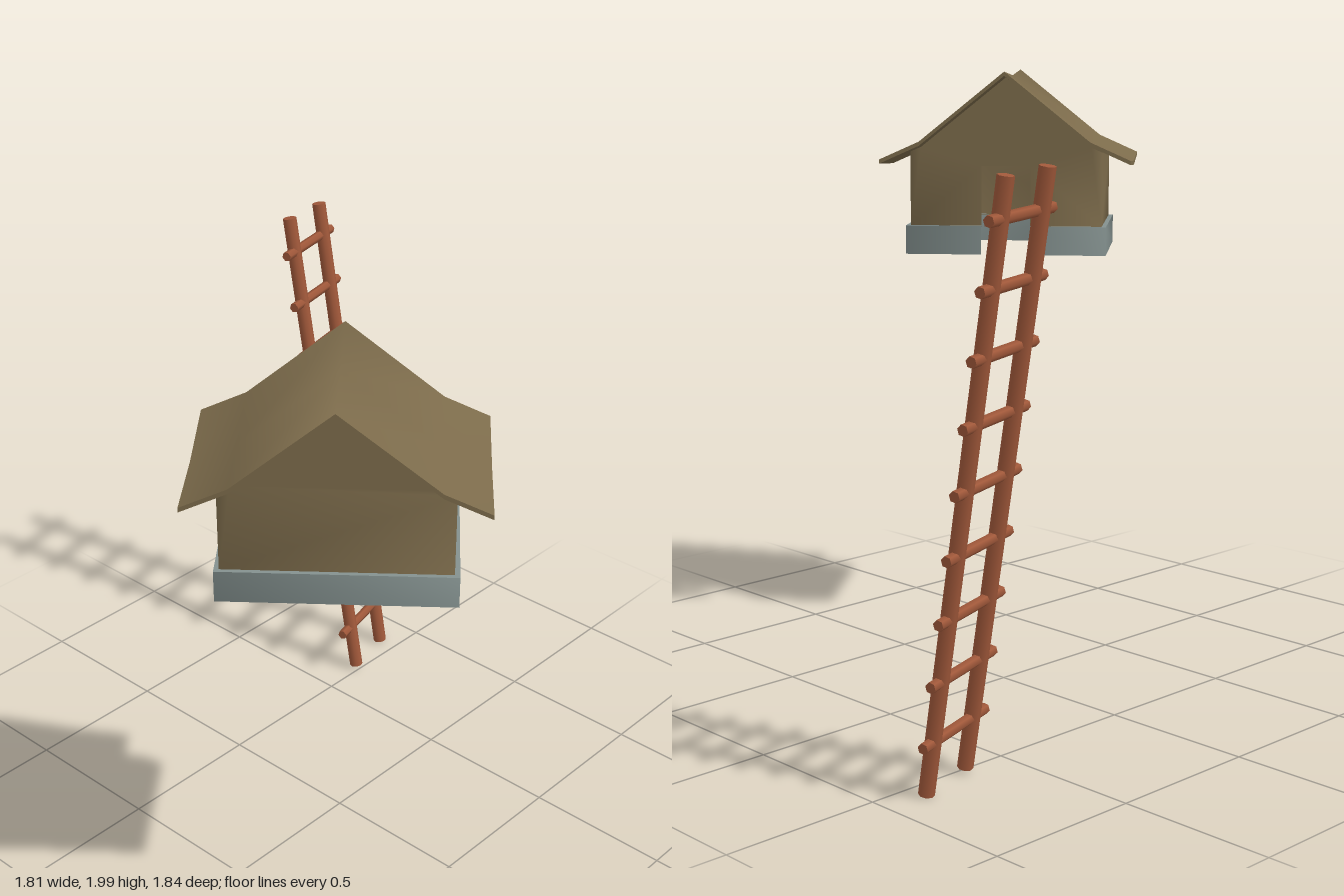
import * as THREE from 'three';
import { mergeGeometries, mergeVertices } from 'three/addons/utils/BufferGeometryUtils.js';

const material = (name, color, side = THREE.FrontSide) => {
  const m = new THREE.MeshStandardMaterial({ color, side });
  m.name = name;
  return m;
};

function addMesh(parent, name, geometry, mat) {
  const mesh = new THREE.Mesh(geometry, mat);
  mesh.name = name;
  parent.add(mesh);
  return mesh;
}

// Joins pieces and shares their corner vertices so shading runs smoothly round corners
function weld(pieces) {
  for (const g of pieces) { g.deleteAttribute('normal'); g.deleteAttribute('uv'); }
  const g = mergeVertices(mergeGeometries(pieces), 1e-4);
  g.computeVertexNormals();
  return g;
}

// Surface between two open paths of [x, y, z] points
function band(lower, upper) {
  const n = lower.length, index = [];
  for (let i = 0; i < n - 1; i++) index.push(i, i + 1, n + i, i + 1, n + i + 1, n + i);
  const g = new THREE.BufferGeometry();
  g.setAttribute('position', new THREE.Float32BufferAttribute([...lower, ...upper].flat(), 3));
  g.setIndex(index);
  g.computeVertexNormals();
  return g;
}

// Round bar between two points
function bar(parent, name, a, b, radius, sides, mat) {
  const dir = b.clone().sub(a);
  const mesh = addMesh(parent, name, new THREE.CylinderGeometry(radius, radius, dir.length(), sides), mat);
  mesh.position.copy(a).add(b).multiplyScalar(0.5);
  mesh.quaternion.setFromUnitVectors(new THREE.Vector3(0, 1, 0), dir.normalize());
}

export function createModel() {
  const thatch = material('thatchBrown', 0x7c6b4b, THREE.DoubleSide);
  const stone = material('stoneGrey', 0x84918f, THREE.DoubleSide);
  const wood = material('ladderWood', 0xa0583a);
  const model = new THREE.Group();
  model.name = 'hutAndLadder';

  const hut = new THREE.Group();
  hut.name = 'hut';
  hut.position.set(0.398, 0, 0.432);
  hut.rotation.y = 0.693;
  model.add(hut);

  // Roof: thin slab folded over the ridge, flared at the eaves and sagging in the middle
  const roofU = [0, 0.288, 0.4225], roofY = [2.0, 1.768, 1.708];
  const halfDepth = 0.286, thickness = 0.014;
  const roof = new THREE.BoxGeometry(4, thickness, 2 * halfDepth, 4, 1, 2);
  const p = roof.attributes.position;
  for (let i = 0; i < p.count; i++) {
    const k = Math.round(Math.abs(p.getX(i)));
    const sag = 0.016 * (1 - Math.abs(p.getZ(i)) / halfDepth);
    p.setXYZ(i, Math.sign(p.getX(i)) * roofU[k], p.getY(i) - thickness / 2 + roofY[k] - sag, p.getZ(i));
  }
  roof.computeVertexNormals();
  addMesh(hut, 'roof', roof, thatch);

  // Walls: two gables and two sides, with a doorway in the rear gable
  const a = 0.325, b = 0.23, foot = 1.48, eave = 1.732, door = 0.083, doorTop = 1.685;
  const gable = (withDoor) => {
    const pts = [[-a, foot]];
    if (withDoor) pts.push([-door, foot], [-door, doorTop], [door, doorTop], [door, foot]);
    pts.push([a, foot], [a, eave], [0.288, 1.748], [0, 1.98], [-0.288, 1.748], [-a, eave]);
    return new THREE.ShapeGeometry(new THREE.Shape(pts.map((q) => new THREE.Vector2(...q))));
  };
  const side = (s) => new THREE.PlaneGeometry(2 * b, eave - foot)
    .rotateY(s * Math.PI / 2).translate(s * a, (eave + foot) / 2, 0);
  addMesh(hut, 'walls', weld([
    gable(false).translate(0, 0, b),
    gable(true).rotateY(Math.PI).translate(0, 0, -b),
    side(1), side(-1),
  ]), thatch);

  // Stone base: band round the foot of the walls, open at the doorway, with a narrow ledge
  const path = (x, z, y) =>
    [[-door, y, -z], [-x, y, -z], [-x, y, z], [x, y, z], [x, y, -z], [door, y, -z]];
  const A = 0.34, B = 0.244, top = 1.483;
  addMesh(hut, 'base', band(path(A, B, 1.386), path(A, B, top)), stone);
  addMesh(hut, 'baseLedge', band(path(A, B, top), path(a - 0.004, b - 0.004, top)), stone);

  // Ladder: two leaning poles and nine slightly skewed rungs
  const ladder = new THREE.Group();
  ladder.name = 'ladder';
  model.add(ladder);
  const V = (x, y, z) => new THREE.Vector3(x, y, z);
  bar(ladder, 'frontPole', V(-0.517, 0.02, -0.661), V(-0.838, 1.775, -0.656), 0.024, 8, wood);
  bar(ladder, 'backPole', V(-0.571, 0.01, -0.861), V(-0.882, 1.762, -0.853), 0.024, 8, wood);
  for (let i = 0; i < 9; i++) {
    const y = 0.178 + i * 0.1845;
    const x = -0.544 - 0.18 * (y - 0.015);
    bar(ladder, 'rung', V(x - 0.045, y - 0.007, -0.916), V(x + 0.045, y + 0.007, -0.592), 0.017, 6, wood);
  }
  return model;
}
